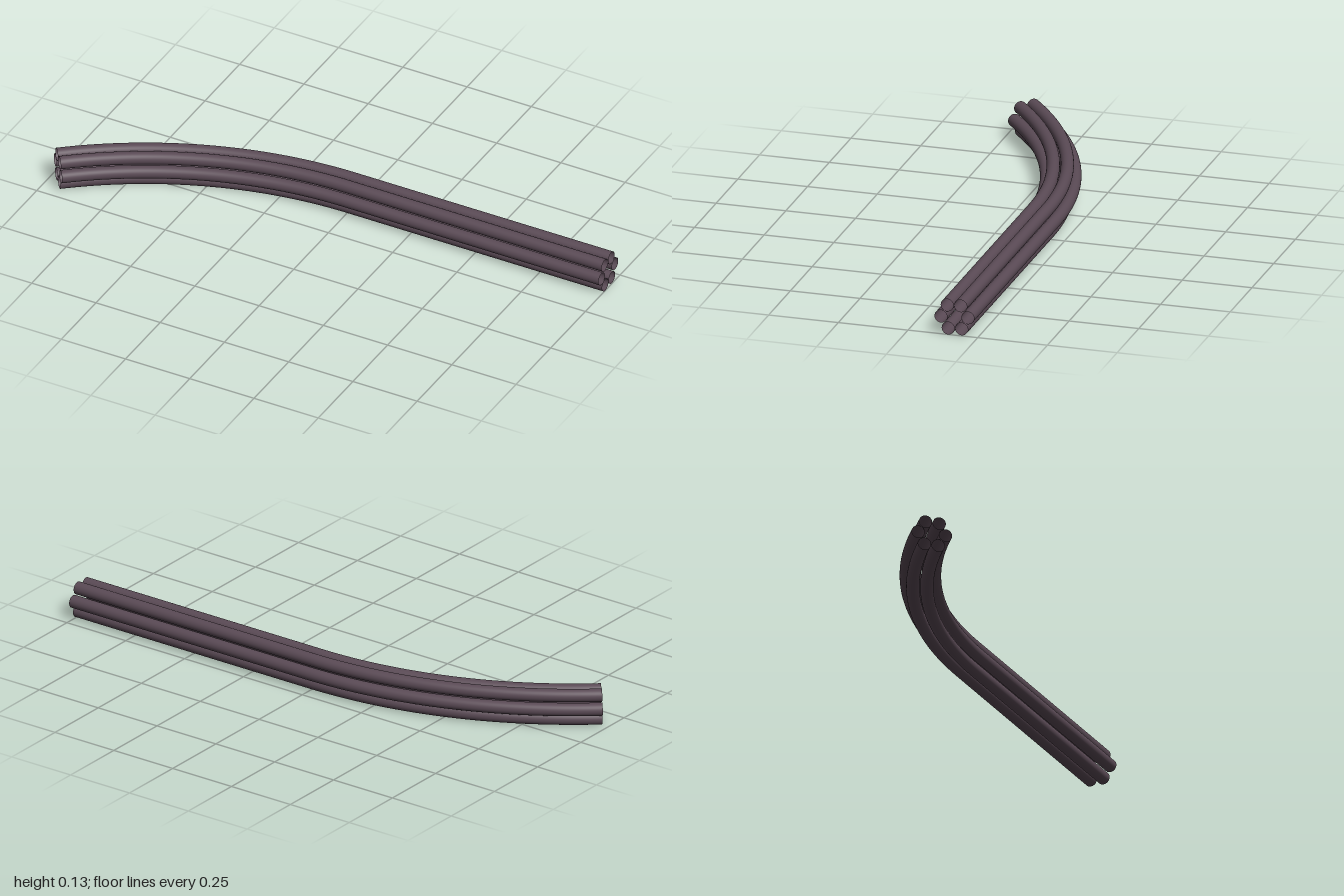
import * as THREE from 'three';

const STRAND_RADIUS = 0.0228;
const RING_RADIUS = 0.0484;   // distance of each strand from the bundle axis
const BEND_RADIUS = 1.485;
const BEND_ANGLE = THREE.MathUtils.degToRad(40);
const AXIS_Y = 0.0658;
const AXIS_Z = -0.166;

// Straight run from x = 1 to x = 0, then a horizontal arc towards +z.
class StrandCurve extends THREE.Curve {
  constructor(offsetY, offsetZ) {
    super();
    this.y = AXIS_Y + offsetY;
    this.offsetZ = offsetZ;
    this.arcLengthDivisions = 400;
  }
  getPoint(t, target = new THREE.Vector3()) {
    if (t < 0.5) return target.set(1 - 2 * t, this.y, AXIS_Z + this.offsetZ);
    const a = (2 * t - 1) * BEND_ANGLE;
    const r = BEND_RADIUS - this.offsetZ;
    return target.set(-r * Math.sin(a), this.y, AXIS_Z + BEND_RADIUS - r * Math.cos(a));
  }
}

export function createModel() {
  const group = new THREE.Group();
  group.name = 'cableBundle';
  const material = new THREE.MeshStandardMaterial({ color: 0x5a4a55, side: THREE.DoubleSide });

  // Six open-ended strands in a slightly turned ring around a hollow core
  for (let i = 0; i < 6; i++) {
    const angle = THREE.MathUtils.degToRad(60 * i - 2.5);
    const curve = new StrandCurve(RING_RADIUS * Math.sin(angle), RING_RADIUS * Math.cos(angle));
    const strand = new THREE.Mesh(new THREE.TubeGeometry(curve, 80, STRAND_RADIUS, 32, false), material);
    strand.name = `strand${i + 1}`;
    group.add(strand);
  }
  return group;
}
